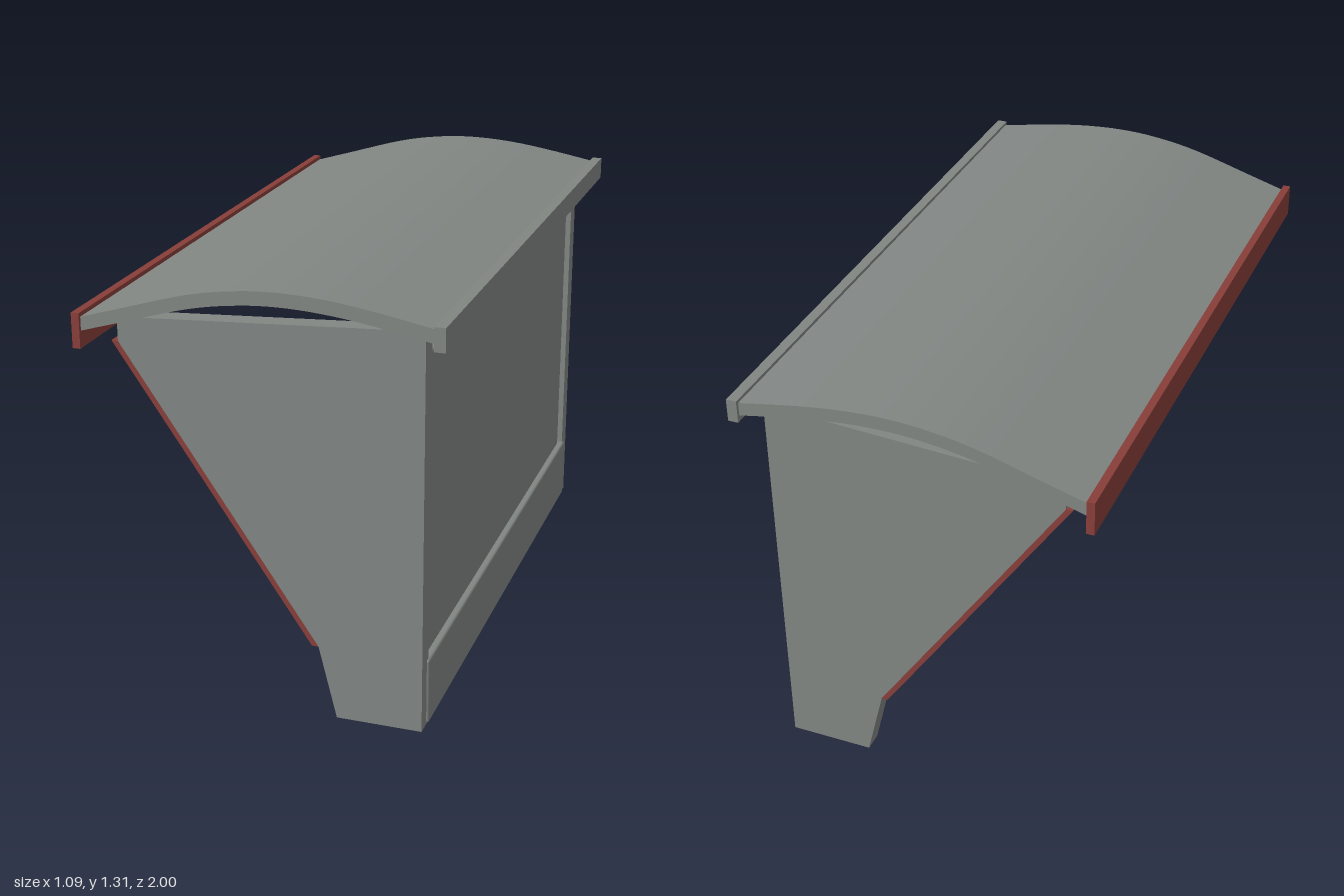
import * as THREE from 'three';
import { RoundedBoxGeometry } from 'three/addons/geometries/RoundedBoxGeometry.js';

const paint = (name, color) => {
  const m = new THREE.MeshStandardMaterial({ color });
  m.name = name;
  return m;
};

export function createModel() {
  const group = new THREE.Group();
  group.name = 'shelter';
  const grey = paint('grey metal', 0x818683);
  const red = paint('red trim', 0x883e39);
  const teal = paint('teal glass', 0x3c666e);

  const add = (name, geometry, material) => {
    const mesh = new THREE.Mesh(geometry, material);
    mesh.name = name;
    group.add(mesh);
    return mesh;
  };

  // Box given by its limits in x and y, centred on z with half depth hz; bevel softens the edges
  const slab = (name, x0, x1, y0, y1, hz, material, bevel = 0) => {
    const size = [x1 - x0, y1 - y0, hz * 2];
    const geometry = bevel
      ? new RoundedBoxGeometry(...size, 2, bevel)
      : new THREE.BoxGeometry(...size);
    add(name, geometry, material).position.set((x0 + x1) / 2, (y0 + y1) / 2, 0);
  };

  // Side profile pushed along z from z0 to z1
  const extrude = (name, shape, z0, z1, material) => {
    const geometry = new THREE.ExtrudeGeometry(shape, { depth: z1 - z0, bevelEnabled: false });
    geometry.translate(0, 0, z0);
    add(name, geometry, material);
  };
  const polygon = (points) => new THREE.Shape(points.map(([x, y]) => new THREE.Vector2(x, y)));

  // Tapered end walls with a red strip down the sloping edge
  const wall = polygon([[0.21, 0], [0.47, 0], [0.47, 1.225], [-0.40, 1.175],
    [-0.44, 1.17], [-0.44, 1.10], [0.155, 0.225]]);
  const strip = polygon([[-0.46, 1.10], [0.135, 0.225], [0.155, 0.225], [-0.44, 1.10]]);
  for (const [side, z0] of [['front', 0.87], ['back', -0.93]]) {
    extrude(side + 'EndWall', wall, z0, z0 + 0.06, grey);
    extrude(side + 'EdgeStrip', strip, z0, z0 + 0.06, red);
  }

  // Curved roof: one smooth line, thickened upwards, reaching both edge boards
  const under = new THREE.SplineCurve([[-0.527, 1.14], [-0.4, 1.178], [-0.2, 1.237],
    [-0.05, 1.263], [0.08, 1.27], [0.22, 1.262], [0.36, 1.242], [0.518, 1.213]]
    .map(([x, y]) => new THREE.Vector2(x, y))).getPoints(32);
  const over = under.map((p) => new THREE.Vector2(p.x, p.y + 0.041)).reverse();
  extrude('roof', new THREE.Shape([...under, ...over]), -0.99, 0.99, grey);

  // Boards along both long roof edges
  slab('redFascia', -0.547, -0.523, 1.09, 1.195, 1, red);
  slab('greyFascia', 0.513, 0.545, 1.195, 1.265, 1, grey);

  // Thick lower wall and the thinner panel above it
  slab('lowerWall', 0.37, 0.477, 0.002, 0.21, 0.884, grey, 0.008);
  slab('upperPanel', 0.39, 0.456, 0.2, 1.135, 0.86, grey, 0.008);

  // Glass pane on the inner face of the panel
  slab('innerGlass', 0.383, 0.39, 0.24, 1.10, 0.825, teal);

  return group;
}
